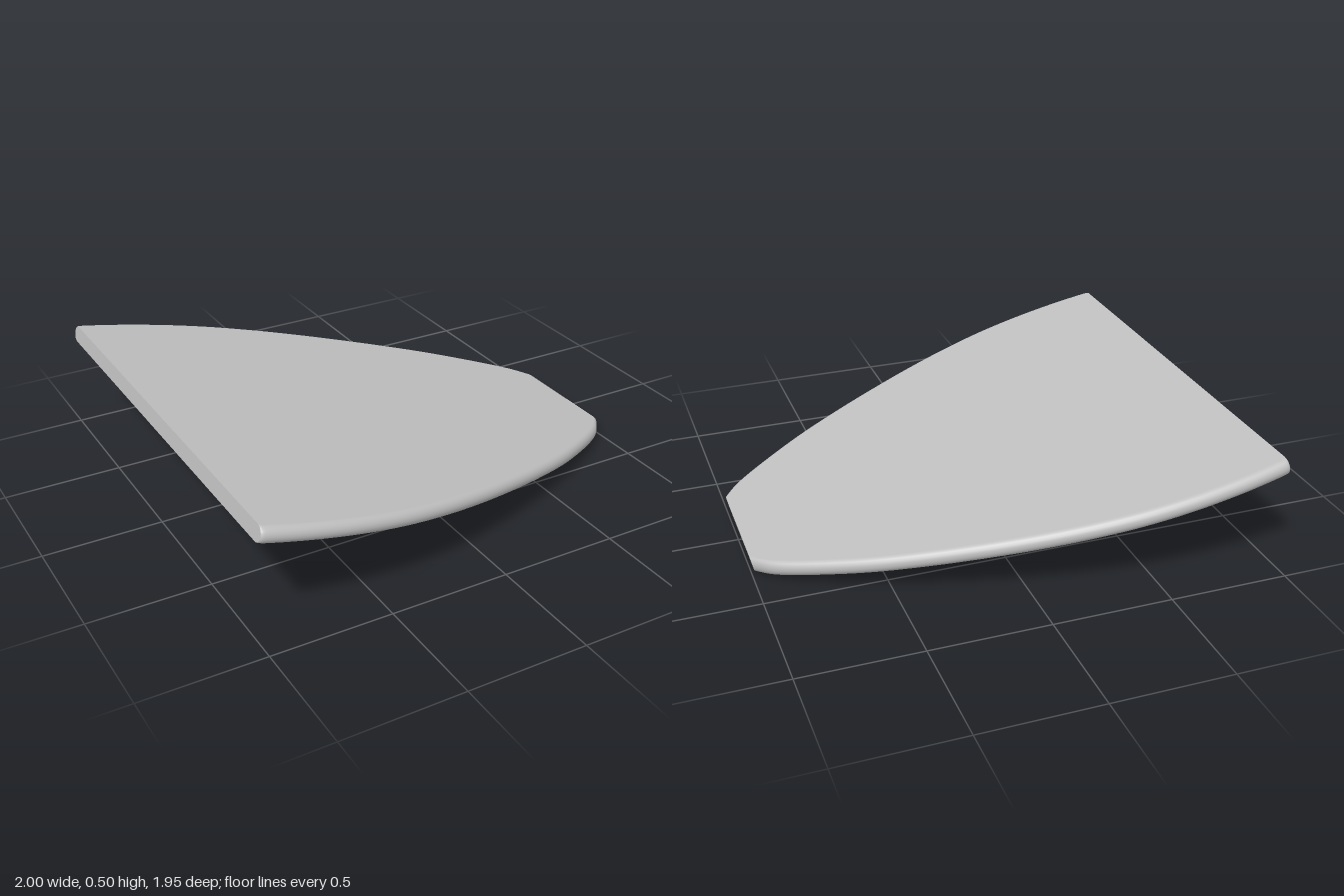
import * as THREE from 'three';

const HALF_LENGTH = 1.016;
const HALF_THICK = 0.034;
const TILT = -0.2155;
const ARC = 10; // segments per rounded side edge

// Half-width of the panel along its length, ending in small clipped corners
const OUTLINE = [
  [-1, 0.955], [-0.97, 0.965], [-0.8, 0.974], [-0.6, 0.968], [-0.4, 0.943], [-0.2, 0.897],
  [0, 0.835], [0.2, 0.76], [0.4, 0.675], [0.6, 0.577], [0.8, 0.455], [0.93, 0.36], [1, 0.28],
];

// Cross-section with flat top and bottom and rounded left and right edges
function section(u, w) {
  const ring = [];
  for (const side of [1, -1]) {
    for (let k = 0; k <= ARC; k++) {
      const a = (k / ARC) * Math.PI + (side < 0 ? Math.PI : 0);
      ring.push([u, HALF_THICK * Math.cos(a), side * (w - HALF_THICK) + HALF_THICK * Math.sin(a)]);
    }
  }
  return ring;
}

function panelGeometry() {
  const curve = new THREE.SplineCurve(OUTLINE.map(([x, w]) => new THREE.Vector2(x * HALF_LENGTH, w)));
  const rings = curve.getPoints(60).map((p) => section(p.x, p.y));
  const n = rings[0].length;
  const pos = rings.flat(2);
  const index = [];

  // Skin between neighbouring sections
  for (let i = 0; i < rings.length - 1; i++) {
    for (let j = 0; j < n; j++) {
      const a = i * n + j, b = i * n + ((j + 1) % n);
      index.push(a, b, a + n, b, b + n, a + n);
    }
  }

  // Flat end faces with their own vertices, so their edges stay sharp
  for (const [ring, tip] of [[rings[0], false], [rings[rings.length - 1], true]]) {
    const start = pos.length / 3;
    pos.push(...ring.flat());
    for (let j = 1; j < n - 1; j++) {
      if (tip) index.push(start, start + j, start + j + 1);
      else index.push(start, start + j + 1, start + j);
    }
  }

  const geo = new THREE.BufferGeometry();
  geo.setAttribute('position', new THREE.Float32BufferAttribute(pos, 3));
  geo.setIndex(index);
  geo.computeVertexNormals();
  return geo;
}

export function createModel() {
  const group = new THREE.Group();
  group.name = 'taperedPanel';
  const gray = new THREE.MeshStandardMaterial({ color: 0xc0c0c0 });
  gray.name = 'light gray';

  // Tapered plate leaning down toward its narrow end
  const panel = new THREE.Mesh(panelGeometry(), gray);
  panel.name = 'panel';
  panel.rotation.z = TILT;
  panel.position.y = HALF_LENGTH * Math.sin(-TILT) + HALF_THICK * Math.cos(TILT);
  group.add(panel);
  return group;
}
